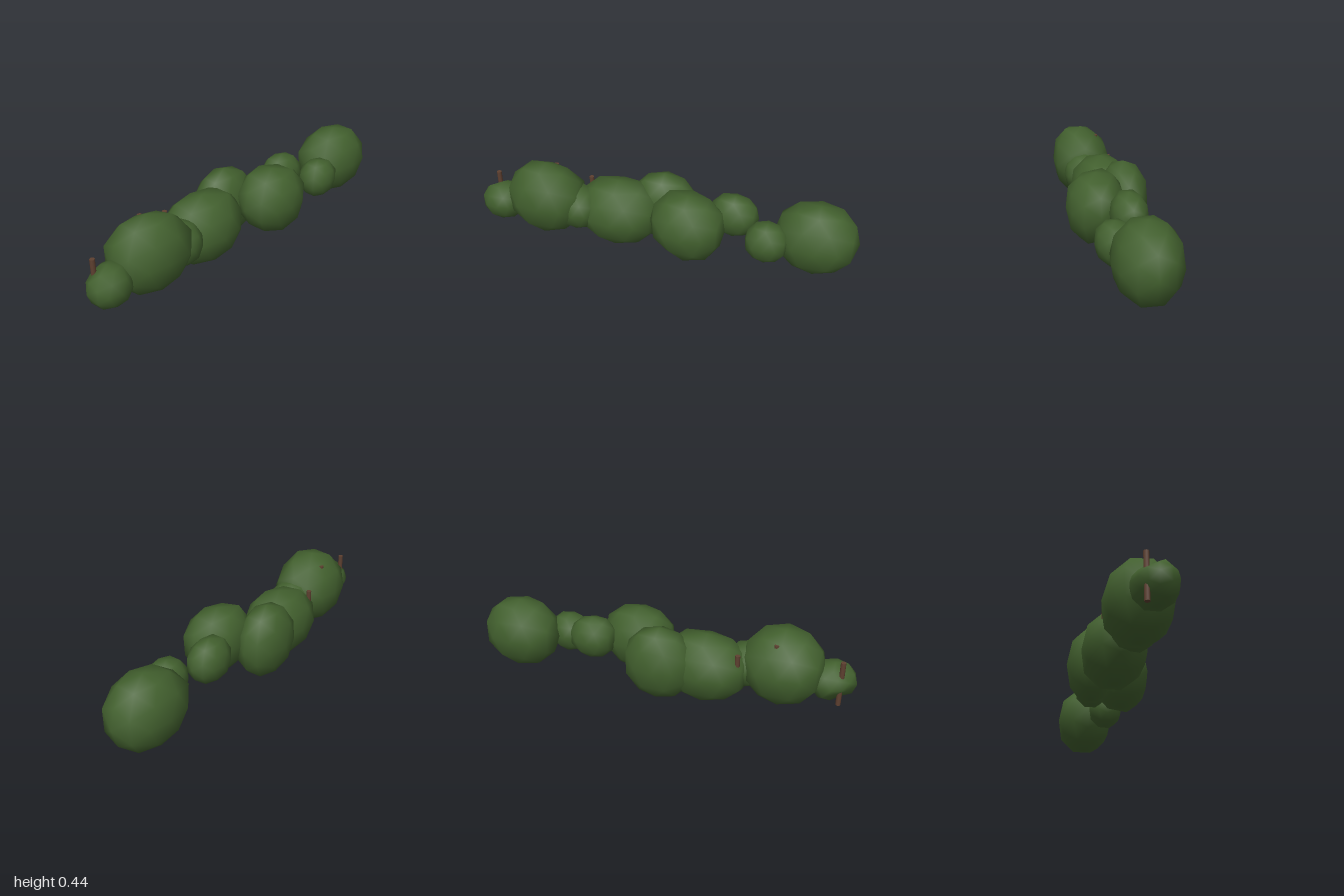
import * as THREE from 'three';
import { mergeVertices } from 'three/addons/utils/BufferGeometryUtils.js';

// Leafy clumps from front to back: low corner, high corner, and a few bulges or dents
const CLUMPS = [
  { min: [-0.06, 0.08, 0.77], max: [0.155, 0.29, 1],
    bulges: [[0.05, 0.19, 1], [-0.06, 0.19, 0.89], [0.01, 0.235, 0.925], [0.01, 0.155, 0.92]] },
  { min: [-0.14, 0.035, 0.42], max: [0.19, 0.435, 0.85],
    bulges: [[-0.055, 0.383, 0.61], [0.13, 0.415, 0.6], [-0.065, 0.26, 0.84], [0.13, 0.26, 0.83],
      [0.14, 0.25, 0.43], [0.03, 0.08, 0.49]] },
  { min: [-0.08, 0.09, 0.34], max: [0.15, 0.32, 0.57], bulges: [] },
  { min: [-0.18, 0, 0.03], max: [0.145, 0.365, 0.48],
    bulges: [[-0.095, 0.31, 0.43], [-0.02, 0.36, 0.1], [0, 0.02, 0.37], [-0.13, 0.19, 0.45], [0.14, 0.19, 0.17]] },
  { min: [-0.228, 0.01, -0.16], max: [0.02, 0.4, 0.21], bulges: [[-0.228, 0.305, 0.03], [-0.055, 0.4, 0.05]] },
  { min: [-0.07, 0.05, -0.34], max: [0.226, 0.4, 0.05],
    bulges: [[0.165, 0.375, -0.1], [0.1, 0.34, -0.33], [0.06, 0.32, 0.05], [0.14, 0.05, -0.25], [0, 0.39, -0.03]] },
  { min: [-0.14, 0.14, -0.49], max: [0.045, 0.365, -0.24], bulges: [[-0.02, 0.27, -0.49], [-0.05, 0.36, -0.28]] },
  { min: [-0.035, 0.09, -0.66], max: [0.152, 0.3, -0.44], bulges: [[0.09, 0.25, -0.655], [0.08, 0.13, -0.65]] },
  { min: [-0.19, 0.015, -1], max: [0.125, 0.39, -0.572],
    bulges: [[-0.03, 0.3, -0.98], [-0.13, 0.25, -0.575], [0.07, 0.22, -0.97], [0.11, 0.2, -0.66]] },
];

// Stems: x, z, bottom, top
const STEMS = [
  [0.005, 0.925, 0.08, 0.32],
  [-0.095, 0.43, 0.16, 0.315],
  [-0.055, 0.61, 0.15, 0.388],
];

// Low sphere, slightly squared, drawn out or in towards its bulges
function clumpGeometry({ min, max, bulges }) {
  const box = new THREE.Box3(new THREE.Vector3(...min), new THREE.Vector3(...max));
  const centre = box.getCenter(new THREE.Vector3());
  const size = box.getSize(new THREE.Vector3());
  const pulls = bulges.map((point) => {
    const dir = new THREE.Vector3(...point).sub(centre).divide(size).multiplyScalar(2);
    const reach = dir.length();
    return { dir: dir.normalize(), reach };
  });

  let geo = new THREE.IcosahedronGeometry(1, 1);
  geo.deleteAttribute('uv');
  geo.deleteAttribute('normal');
  geo = mergeVertices(geo, 1e-3);
  const pos = geo.attributes.position;
  const v = new THREE.Vector3();
  for (let i = 0; i < pos.count; i++) {
    v.fromBufferAttribute(pos, i);
    const squared = 1 / Math.hypot(v.x ** 2, v.y ** 2, v.z ** 2) ** 0.5;
    let sum = 0.2 * (1 + (squared - 1) * 0.3), weight = 0.2;
    for (const { dir, reach } of pulls) {
      const w = Math.exp((v.dot(dir) - 1) * 13);
      sum += w * reach;
      weight += w;
    }
    v.multiplyScalar(sum / weight);
    pos.setXYZ(i, v.x, v.y, v.z);
  }

  // Size the clump to its corners
  geo.center();
  const grown = geo.boundingBox.getSize(new THREE.Vector3());
  geo.scale(size.x / grown.x, size.y / grown.y, size.z / grown.z);
  geo.translate(centre.x, centre.y, centre.z);
  geo.computeVertexNormals();
  return geo;
}

export function createModel() {
  const model = new THREE.Group();
  model.name = 'hedge';
  const leaf = new THREE.MeshStandardMaterial({ color: 0x42602e });
  leaf.name = 'leaf green';
  const bark = new THREE.MeshStandardMaterial({ color: 0x5e4030 });
  bark.name = 'bark brown';

  // Row of leafy clumps
  CLUMPS.forEach((clump, i) => {
    const mesh = new THREE.Mesh(clumpGeometry(clump), leaf);
    mesh.name = `leafClump${i + 1}`;
    model.add(mesh);
  });

  // Thin upright stems
  STEMS.forEach(([x, z, bottom, top], i) => {
    const mesh = new THREE.Mesh(new THREE.CylinderGeometry(0.013, 0.013, top - bottom, 8), bark);
    mesh.position.set(x, (bottom + top) / 2, z);
    mesh.name = `stem${i + 1}`;
    model.add(mesh);
  });

  return model;
}
